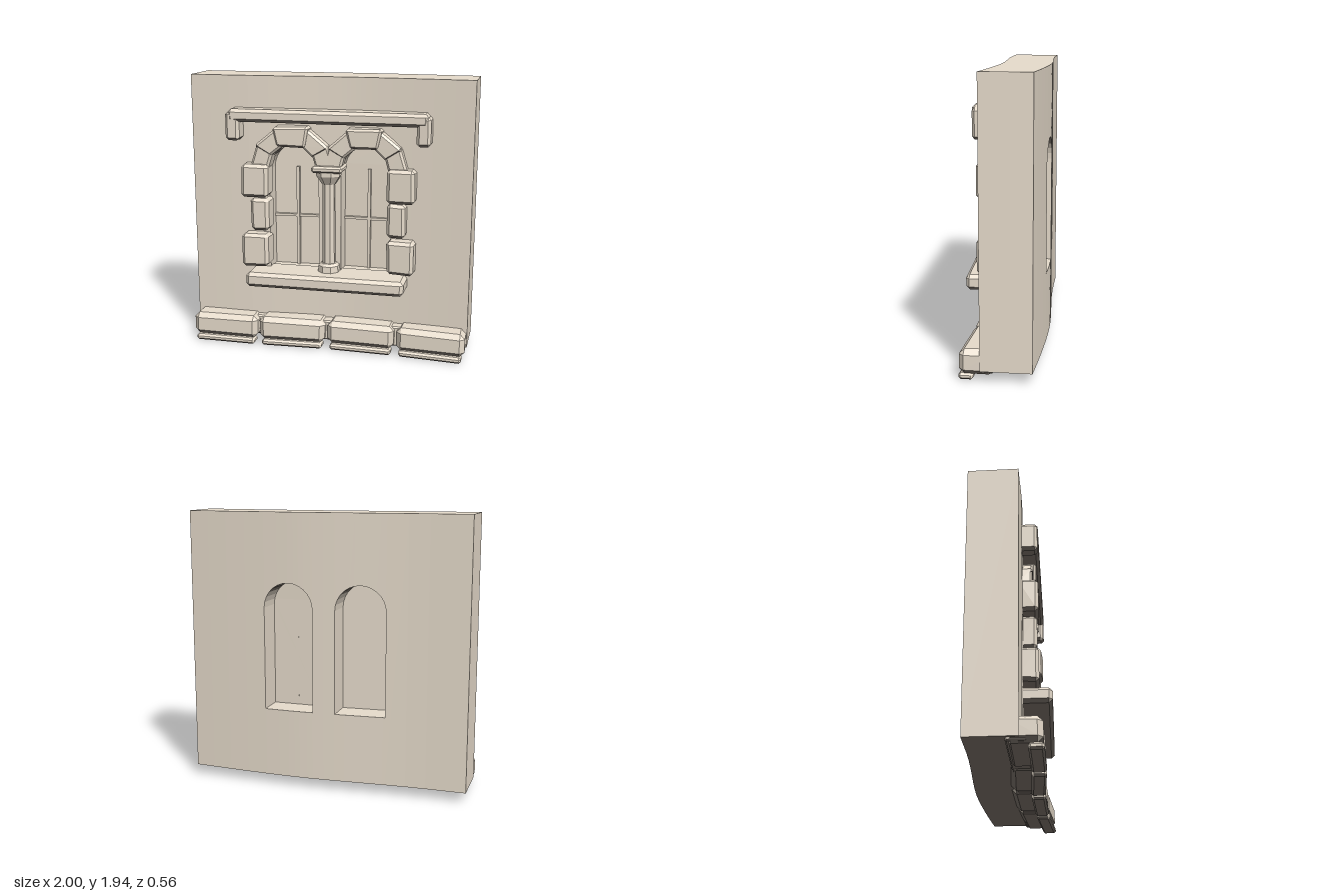
import * as THREE from 'three';
import { ConvexGeometry } from 'three/addons/geometries/ConvexGeometry.js';

const stone = new THREE.MeshStandardMaterial({ color: 0xe7dccc });
stone.name = 'pale sandstone';
const underStone = new THREE.MeshStandardMaterial({ color: 0x857b73 });
underStone.name = 'weathered underside stone';

// Gentle sway of the whole wall: z offset at a given x
function sway(x) {
  if (x < 0.2) return -0.042 * THREE.MathUtils.smoothstep(x, -0.75, 0.2);
  return -0.042 * (1 - Math.pow(Math.min(1, (x - 0.2) / 0.8), 1.6));
}

function bend(geo) {
  const p = geo.attributes.position;
  for (let i = 0; i < p.count; i++) p.setZ(i, p.getZ(i) + sway(p.getX(i)));
  return geo;
}

// Flat-faced mesh whose downward faces take the weathered stone
function stoneMesh(name, source) {
  const p = (source.index ? source.toNonIndexed() : source).attributes.position;
  const faces = [[], []];
  const tri = new THREE.Triangle(), normal = new THREE.Vector3();
  for (let i = 0; i < p.count; i += 3) {
    tri.setFromAttributeAndIndices(p, i, i + 1, i + 2);
    tri.getNormal(normal);
    faces[normal.y < -0.6 ? 1 : 0].push(...tri.a, ...tri.b, ...tri.c);
  }
  const geo = new THREE.BufferGeometry();
  geo.setAttribute('position', new THREE.Float32BufferAttribute(faces.flat(), 3));
  geo.addGroup(0, faces[0].length / 3, 0);
  geo.addGroup(faces[0].length / 3, faces[1].length / 3, 1);
  geo.computeVertexNormals();
  const mesh = new THREE.Mesh(geo, [stone, underStone]);
  mesh.name = name;
  return mesh;
}

// Small seeded wobble for hand-cut stones
let seed = 7;
function wobble(amount) {
  seed = (seed * 16807) % 2147483647;
  return (seed / 2147483647 - 0.5) * 2 * amount;
}

// Chamfered block; taper narrows its lower edge, angle turns it about z
function block(name, [x0, x1], [y0, y1], [z0, z1], c, { taper = 1, angle = 0, rough = 0 } = {}) {
  const h = [(x1 - x0) / 2, (y1 - y0) / 2, (z1 - z0) / 2];
  const mid = new THREE.Vector3((x0 + x1) / 2, (y0 + y1) / 2, (z0 + z1) / 2);
  const points = [];
  for (const sx of [-1, 1]) for (const sy of [-1, 1]) for (const sz of [-1, 1]) {
    const jx = wobble(rough), jy = wobble(rough);
    for (let k = 0; k < 3; k++) {
      const inset = h.map((v, i) => (i === k ? v : v - c));
      const v = new THREE.Vector3(sx * inset[0] + jx, sy * inset[1] + jy, sz * inset[2]);
      if (sy < 0) v.x *= taper;
      points.push(v.applyAxisAngle(new THREE.Vector3(0, 0, 1), angle).add(mid));
    }
  }
  return stoneMesh(name, bend(new ConvexGeometry(points)));
}

// Wall and window opening dimensions
const IN = 0.08, OUT = 0.434, CX = 0.257, R = 0.177, SILL = 0.56, SPRING = 1.285;
const FRONT = 0.095, BACK = -0.24, BOTTOM = 0.076, TOP = 1.945;

// Wall made of vertical strips, with two arched openings
function wallGeometry() {
  const xs = [-1, -0.86, -0.72, -0.58, 0, 0.58, 0.72, 0.86, 1];
  const n = 14;
  for (const s of [-1, 1]) for (let i = 0; i <= n; i++) xs.push(s * (CX - R * Math.cos((Math.PI * i) / n)));
  xs.sort((a, b) => a - b);
  const pos = [];
  const quad = (a, b, c, d) => pos.push(...a, ...b, ...c, ...a, ...c, ...d);
  const facing = (a, b, ya, yb, top) => {
    quad([a, ya, FRONT], [b, yb, FRONT], [b, top, FRONT], [a, top, FRONT]);
    quad([b, yb, BACK], [a, ya, BACK], [a, top, BACK], [b, top, BACK]);
  };
  const up = (a, b, y) => quad([a, y, FRONT], [b, y, FRONT], [b, y, BACK], [a, y, BACK]);
  const down = (a, b, ya, yb) => quad([a, ya, BACK], [b, yb, BACK], [b, yb, FRONT], [a, ya, FRONT]);
  const right = (x, y0, y1) => quad([x, y0, FRONT], [x, y0, BACK], [x, y1, BACK], [x, y1, FRONT]);
  const left = (x, y0, y1) => quad([x, y0, BACK], [x, y0, FRONT], [x, y1, FRONT], [x, y1, BACK]);
  const arch = x => SPRING + Math.sqrt(Math.max(0, R * R - (Math.abs(x) - CX) ** 2));
  for (let i = 0; i + 1 < xs.length; i++) {
    const a = xs[i], b = xs[i + 1], m = Math.abs((a + b) / 2);
    up(a, b, TOP);
    down(a, b, BOTTOM, BOTTOM);
    if (m < IN || m > OUT) {
      facing(a, b, BOTTOM, BOTTOM, TOP);
    } else {
      facing(a, b, BOTTOM, BOTTOM, SILL);
      up(a, b, SILL);
      down(a, b, arch(a), arch(b));
      facing(a, b, arch(a), arch(b), TOP);
    }
  }
  right(1, BOTTOM, TOP);
  left(-1, BOTTOM, TOP);
  for (const x of [-OUT, IN]) right(x, SILL, SPRING);
  for (const x of [-IN, OUT]) left(x, SILL, SPRING);
  const geo = new THREE.BufferGeometry();
  geo.setAttribute('position', new THREE.Float32BufferAttribute(pos, 3));
  return bend(geo);
}

export function createModel() {
  const model = new THREE.Group();
  model.name = 'archedWindowWall';
  seed = 7;
  model.add(stoneMesh('wall', wallGeometry()));

  for (const s of [-1, 1]) {
    // Recessed pane with glazing bars
    const shape = new THREE.Shape();
    shape.moveTo(s * CX - R, SILL);
    shape.lineTo(s * CX + R, SILL);
    shape.lineTo(s * CX + R, SPRING);
    shape.absarc(s * CX, SPRING, R, 0, Math.PI, false);
    const pane = new THREE.ExtrudeGeometry(shape, { depth: 0.006, bevelEnabled: false, curveSegments: 14 });
    model.add(stoneMesh('pane', bend(pane.translate(0, 0, -0.048))));
    const upright = new THREE.BoxGeometry(0.021, 0.73, 0.03).translate(s * 0.26, 0.925, -0.03);
    const crossbar = new THREE.BoxGeometry(0.35, 0.018, 0.026).translate(s * CX, 0.93, -0.03);
    model.add(stoneMesh('verticalBar', bend(upright)), stoneMesh('horizontalBar', bend(crossbar)));

    // Jamb stones, alternating wide and narrow
    for (const [inner, outer, y0, y1, z] of [
      [0.425, 0.617, 0.59, 0.828, 0.2], [0.42, 0.55, 0.855, 1.09, 0.19], [0.42, 0.615, 1.1, 1.335, 0.2],
    ]) {
      const span = s > 0 ? [inner, outer] : [-outer, -inner];
      model.add(block('jambStone', span, [y0, y1], [0.05, z], 0.022, { rough: 0.004 }));
    }

    // Closely fitted arch stones around each opening, with a larger keystone
    for (const [deg, width, z, taper] of [
      [163, 0.185, 0.16, 0.62], [130, 0.2, 0.167, 0.62], [90, 0.25, 0.187, 0.8],
      [50, 0.2, 0.167, 0.62], [17, 0.185, 0.16, 0.62],
    ]) {
      const a = THREE.MathUtils.degToRad(deg);
      const px = s * 0.257 + Math.cos(a) * 0.226, py = 1.307 + Math.sin(a) * 0.226;
      const r = deg === 90 ? 0.071 : 0.064;
      model.add(block(deg === 90 ? 'keystone' : 'archStone', [px - width / 2, px + width / 2],
        [py - r, py + r], [0.04, z], 0.016, { taper, angle: a - Math.PI / 2, rough: 0.004 }));
    }

    // Drop ends of the hood moulding
    const ends = s > 0 ? [0.62, 0.717] : [-0.72, -0.62];
    model.add(block('hoodEnd', ends, [1.5, 1.702], [0.06, 0.2], 0.02));
  }

  model.add(block('hoodMoulding', [-0.7, 0.7], [1.632, 1.722], [0.04, 0.203], 0.022));
  model.add(block('windowSill', [-0.567, 0.563], [0.462, 0.567], [0.0, 0.284], 0.024));

  // Central column
  const column = new THREE.Group();
  column.name = 'column';
  column.position.z = 0.085;
  model.add(column);
  for (const [name, rTop, rBottom, y0, y1] of [
    ['columnBase', 0.076, 0.08, 0.56, 0.612], ['columnBaseCollar', 0.058, 0.076, 0.612, 0.63],
    ['columnShaft', 0.044, 0.047, 0.63, 1.22], ['columnCapital', 0.09, 0.05, 1.205, 1.265],
    ['columnCapitalTop', 0.09, 0.09, 1.265, 1.295],
  ]) {
    const drum = new THREE.CylinderGeometry(rTop, rBottom, y1 - y0, 8).rotateY(Math.PI / 8);
    column.add(stoneMesh(name, drum.translate(0, (y0 + y1) / 2, 0)));
  }
  model.add(block('columnAbacus', [-0.108, 0.108], [1.29, 1.337], [0.01, 0.205], 0.014));

  // Plinth stones with a thin lip under each
  for (const [x0, x1] of [[-0.993, -0.508], [-0.493, -0.012], [0.008, 0.492], [0.51, 0.993]]) {
    model.add(block('plinthStone', [x0, x1], [0.044, 0.212], [0.01, 0.234], 0.034, { rough: 0.003 }));
    model.add(block('plinthLip', [x0 + 0.02, x1 - 0.02], [0.004, 0.048], [0.145, 0.24], 0.014));
  }
  // Narrow course joining the plinth stones
  model.add(block('plinthCourse', [-0.98, 0.98], [0.055, 0.2], [0.01, 0.14], 0.01));
  return model;
}
